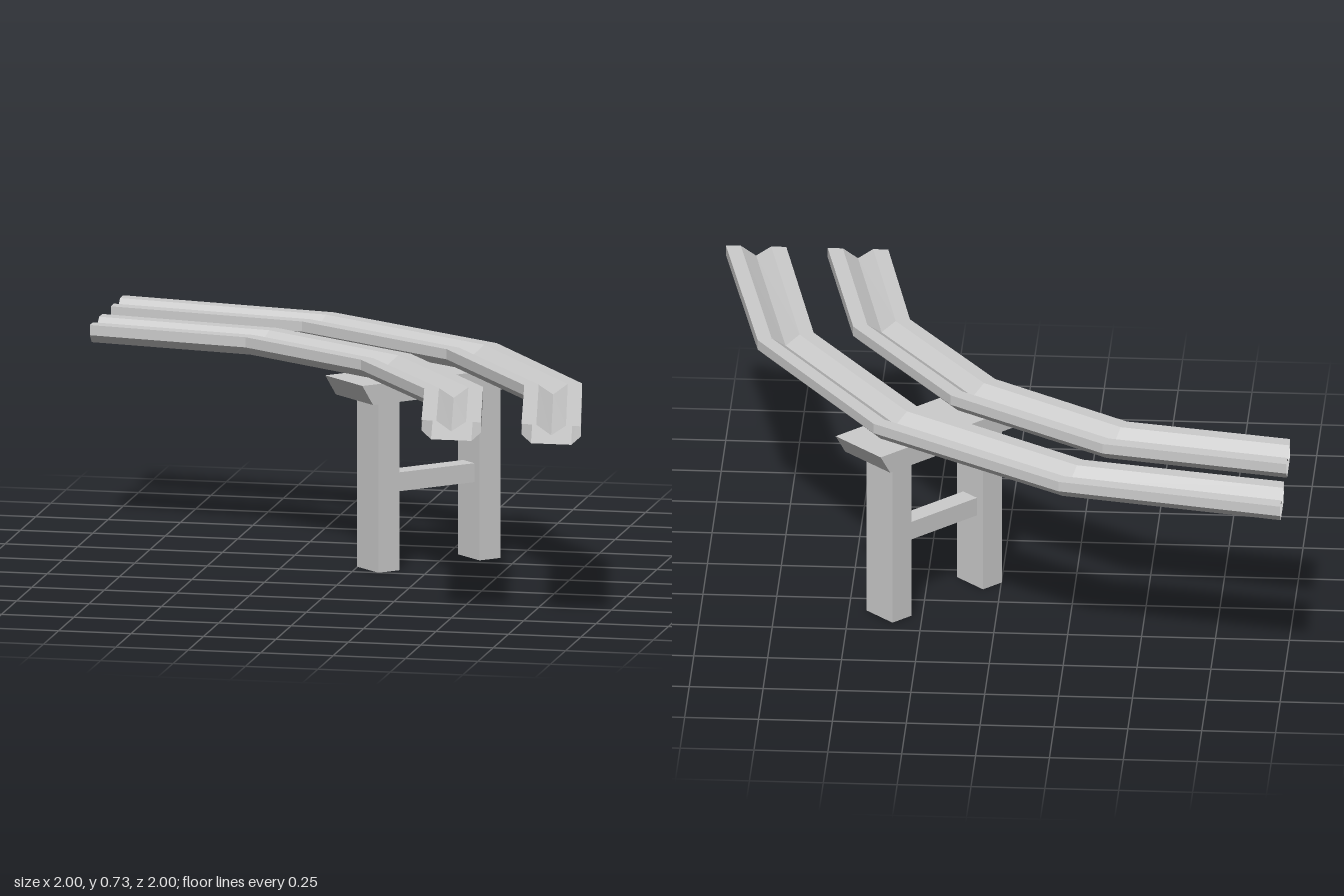
import * as THREE from 'three';

const grey = new THREE.MeshStandardMaterial({ color: 0xcccccc, flatShading: true });
const open = new THREE.MeshStandardMaterial({ color: 0xcccccc, flatShading: true, side: THREE.DoubleSide });

// Grooved rail section: [share of the way from outer to inner edge, height]
const section = [
  [0, 0.725], [0.25, 0.725], [0.5, 0.69], [0.75, 0.725], [1, 0.725],
  [1, 0.69], [0.84, 0.66], [0.16, 0.66], [0, 0.69],
];

// Sweep the section between an outer and an inner edge line (x, z); ends stay open
function rail(name, outer, inner) {
  const point = (i, j) => {
    const [s, y] = section[j % section.length];
    return [
      THREE.MathUtils.lerp(outer[i][0], inner[i][0], s), y,
      THREE.MathUtils.lerp(outer[i][1], inner[i][1], s),
    ];
  };
  const pos = [];
  for (let i = 0; i < outer.length - 1; i++) {
    for (let j = 0; j < section.length; j++) {
      const a = point(i, j), b = point(i, j + 1), c = point(i + 1, j), d = point(i + 1, j + 1);
      pos.push(...a, ...b, ...c, ...b, ...d, ...c);
    }
  }
  const geo = new THREE.BufferGeometry();
  geo.setAttribute('position', new THREE.Float32BufferAttribute(pos, 3));
  geo.computeVertexNormals();
  const mesh = new THREE.Mesh(geo, open);
  mesh.name = name;
  return mesh;
}

// Complete half an edge line by mirroring it across the diagonal x = -z
const mirrored = (half) => [...half, ...half.slice(0, -1).reverse().map(([x, z]) => [-z, -x])];

function box(name, w, h, d, x, y) {
  const mesh = new THREE.Mesh(new THREE.BoxGeometry(w, h, d), grey);
  mesh.position.set(x, y, 0);
  mesh.name = name;
  return mesh;
}

export function createModel() {
  const model = new THREE.Group();
  model.name = 'curvedTrack';

  // Pair of curved rails
  model.add(
    rail('outerRail',
      mirrored([[-1, -1], [-0.24, -0.845], [0.413, -0.413]]),
      mirrored([[-1, -0.795], [-0.312, -0.66], [0.27, -0.27]])),
    rail('innerRail',
      mirrored([[-1, -0.655], [-0.37, -0.53], [0.167, -0.167]]),
      mirrored([[-1, -0.45], [-0.44, -0.342], [0.025, -0.025]])),
  );

  // Trestle across the rails, turned onto the diagonal
  const trestle = new THREE.Group();
  trestle.name = 'trestle';
  trestle.position.set(0.219, 0, -0.219);
  trestle.rotation.y = Math.PI / 4;

  // Cross beam with ends cut in towards the bottom
  const beam = new THREE.Shape([[-0.343, 0.66], [-0.3, 0.59], [0.3, 0.59], [0.343, 0.66]]
    .map(([x, y]) => new THREE.Vector2(x, y)));
  const beamGeo = new THREE.ExtrudeGeometry(beam, { depth: 0.23, bevelEnabled: false });
  beamGeo.translate(0, 0, -0.115);
  const crossBeam = new THREE.Mesh(beamGeo, grey);
  crossBeam.name = 'crossBeam';
  trestle.add(crossBeam);

  // Posts and the stretcher between them
  for (const side of [-1, 1]) {
    trestle.add(box(side < 0 ? 'innerPost' : 'outerPost', 0.085, 0.59, 0.132, side * 0.204, 0.295));
  }
  trestle.add(box('stretcher', 0.33, 0.065, 0.07, 0, 0.297));

  model.add(trestle);
  return model;
}
